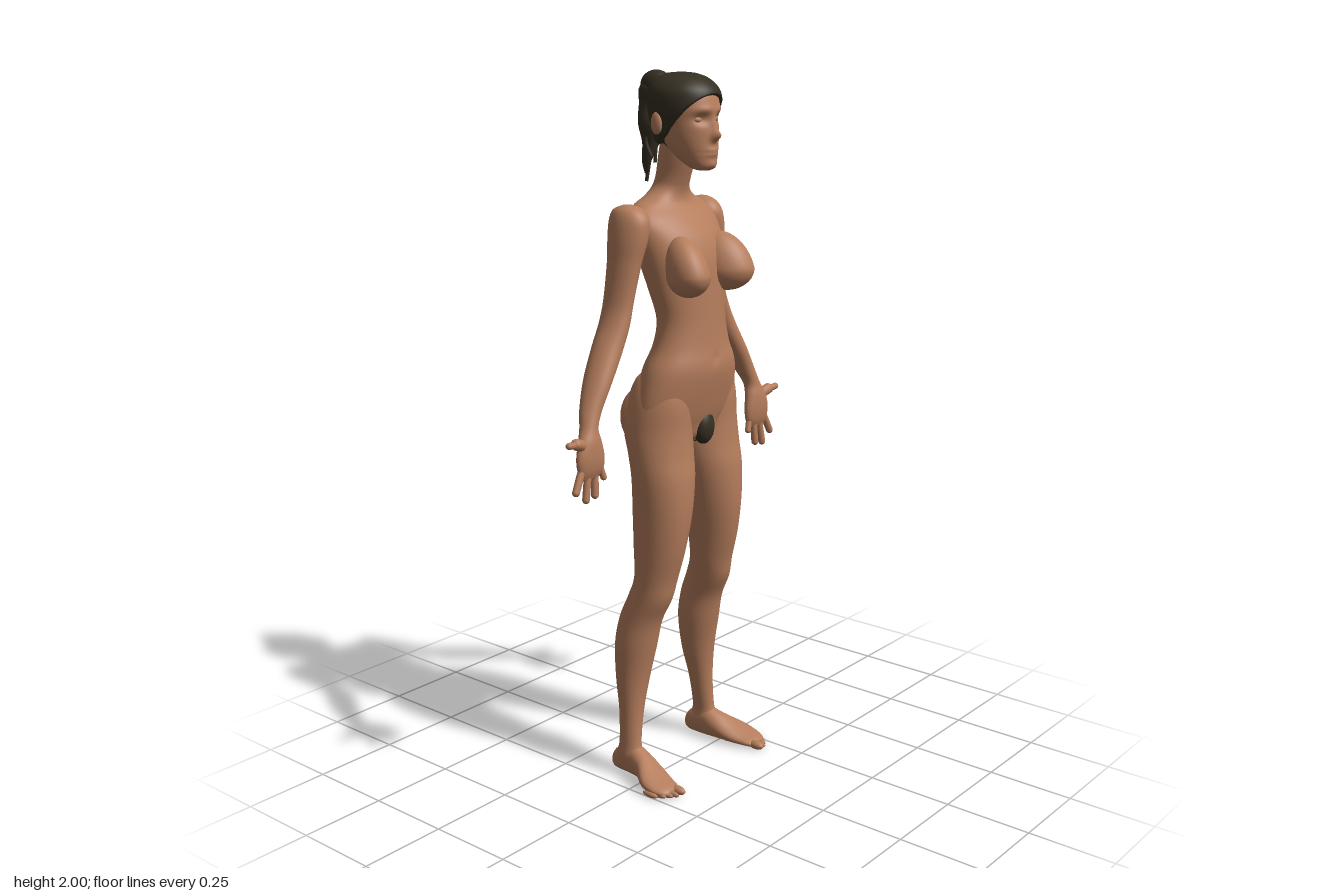
import * as THREE from 'three';

const skin = new THREE.MeshStandardMaterial({ color: 0xb57d5c });
skin.name = 'skin';
const hair = new THREE.MeshStandardMaterial({ color: 0x352f22 });
hair.name = 'darkHair';

// Smooth value between neighbouring profile rows
function spline(a, b, c, d, t) {
  return b + 0.5 * t * (c - a + t * (2 * a - 5 * b + 4 * c - d + t * (3 * (b - c) + d - a)));
}

// Closed loft. Rows: [position along axis, xMin, xMax, vMax, vMin], v being z (axis y) or y (axis z)
function loft(rows, { axis = 'y', seg = 32, sub = 5, rule } = {}) {
  const pos = [], idx = [], last = rows.length - 1;
  const rings = last * sub + 1;
  const put = (x, along, v) => {
    const p = axis === 'y' ? new THREE.Vector3(x, along, v) : new THREE.Vector3(x, v, along);
    if (rule) rule(p);
    pos.push(p.x, p.y, p.z);
  };
  const at = (r) => {
    const i = Math.min(Math.floor(r / sub), last - 1), t = r / sub - i;
    return rows[i].map((_, k) => spline(
      rows[Math.max(i - 1, 0)][k], rows[i][k], rows[i + 1][k], rows[Math.min(i + 2, last)][k], t));
  };
  for (let r = 0; r < rings; r++) {
    const [a, x0, x1, v1, v0] = at(r);
    for (let j = 0; j < seg; j++) {
      const th = (j / seg) * Math.PI * 2;
      put((x0 + x1) / 2 + Math.cos(th) * (x1 - x0) / 2, a, (v0 + v1) / 2 + Math.sin(th) * (v1 - v0) / 2);
    }
  }
  const tri = (a, b, c) => (axis === 'y' ? idx.push(a, b, c) : idx.push(a, c, b));
  for (let r = 0; r < rings - 1; r++) {
    for (let j = 0; j < seg; j++) {
      const a = r * seg + j, b = r * seg + (j + 1) % seg;
      tri(a, a + seg, b);
      tri(b, a + seg, b + seg);
    }
  }
  // End caps
  [0, rings - 1].forEach((r) => {
    const [a, x0, x1, v1, v0] = at(r), c = pos.length / 3;
    put((x0 + x1) / 2, a, (v0 + v1) / 2);
    for (let j = 0; j < seg; j++) {
      const p = r * seg + j, q = r * seg + (j + 1) % seg;
      if (r === 0) tri(c, p, q); else tri(c, q, p);
    }
  });
  const g = new THREE.BufferGeometry();
  g.setAttribute('position', new THREE.Float32BufferAttribute(pos, 3));
  g.setIndex(idx);
  g.computeVertexNormals();
  return g;
}

const symmetric = (rows) => rows.map(([y, w, front, back]) => [y, -w, w, front, back]);

function ellipsoid(x, y, z, rx, ry, rz) {
  return new THREE.SphereGeometry(1, 28, 20).scale(rx, ry, rz).translate(x, y, z);
}

// Rounded finger segment between two points
function finger(a, b, r) {
  const p = new THREE.Vector3(...a), d = new THREE.Vector3(...b).sub(p);
  const q = new THREE.Quaternion().setFromUnitVectors(new THREE.Vector3(0, 1, 0), d.clone().normalize());
  p.addScaledVector(d, 0.5);
  return new THREE.CapsuleGeometry(r, d.length(), 6, 12).applyQuaternion(q).translate(p.x, p.y, p.z);
}

function mirrored(geo) {
  const g = geo.clone().scale(-1, 1, 1), i = g.index.array;
  for (let k = 0; k < i.length; k += 3) [i[k], i[k + 1]] = [i[k + 1], i[k]];
  return g;
}

const bump = (x, y, sx, sy) => Math.exp(-((x / sx) ** 2) - (y / sy) ** 2);

export function createModel() {
  const model = new THREE.Group();
  const add = (name, geo, mat = skin) => {
    const m = new THREE.Mesh(geo, mat);
    m.name = name;
    model.add(m);
  };
  const pair = (name, geo, mat) => {
    add(name + 'Left', geo, mat);
    add(name + 'Right', mirrored(geo), mat);
  };

  // Torso and neck, with a shallow spine groove and navel
  add('torso', loft(symmetric([
    [0.985, 0.03, 0.03, -0.03], [1.01, 0.1, 0.068, -0.06], [1.05, 0.165, 0.08, -0.08],
    [1.1, 0.182, 0.095, -0.09], [1.2, 0.163, 0.116, -0.085], [1.27, 0.13, 0.108, -0.062],
    [1.34, 0.115, 0.102, -0.055], [1.42, 0.128, 0.097, -0.078], [1.5, 0.142, 0.09, -0.108],
    [1.56, 0.152, 0.07, -0.122], [1.61, 0.158, 0.035, -0.126], [1.645, 0.13, 0.004, -0.12],
    [1.667, 0.085, -0.003, -0.11], [1.69, 0.055, 0, -0.1], [1.72, 0.046, 0.01, -0.09],
    [1.78, 0.046, 0.03, -0.08], [1.83, 0.045, 0.03, -0.07]]), {
    seg: 64,
    rule: (p) => {
      if (p.z < -0.03) p.z += 0.016 * bump(p.x, p.y - 1.42, 0.022, 0.17);
      if (p.z > 0.05) p.z -= 0.008 * bump(p.x, p.y - 1.235, 0.01, 0.012);
    },
  }));

  // Chest, fuller below than above
  const chest = new THREE.SphereGeometry(1, 32, 24).scale(0.06, 0.062, 0.075);
  const cp = chest.attributes.position;
  for (let i = 0; i < cp.count; i++) {
    const y = cp.getY(i), z = cp.getZ(i);
    if (y > 0) cp.setXYZ(i, cp.getX(i), y * 1.6, z - y * 0.45);
    cp.setX(i, cp.getX(i) + z * 0.2);
  }
  chest.computeVertexNormals();
  pair('breast', chest.translate(0.083, 1.472, 0.08));

  // Legs, read as rings from ankle to hip
  pair('leg', loft([
    [0.02, 0.15, 0.19, -0.02, -0.11], [0.06, 0.142, 0.2, -0.01, -0.112], [0.1, 0.143, 0.196, -0.028, -0.1],
    [0.2, 0.125, 0.194, -0.03, -0.105], [0.3, 0.1, 0.198, -0.02, -0.12], [0.4, 0.084, 0.2, 0, -0.126],
    [0.48, 0.082, 0.193, 0.018, -0.113], [0.55, 0.076, 0.186, 0.05, -0.085], [0.61, 0.066, 0.183, 0.063, -0.066],
    [0.7, 0.053, 0.186, 0.086, -0.07], [0.8, 0.035, 0.19, 0.1, -0.075], [0.9, 0.018, 0.195, 0.1, -0.078],
    [0.97, 0.009, 0.196, 0.09, -0.09], [1.04, 0.008, 0.192, 0.085, -0.11], [1.12, 0.014, 0.18, 0.085, -0.1],
    [1.18, 0.04, 0.155, 0.07, -0.075], [1.21, 0.07, 0.12, 0.03, -0.03]], { seg: 40 }));
  pair('buttock', ellipsoid(0.088, 1.065, -0.055, 0.086, 0.092, 0.077));

  // Feet, read as rings from heel to toes
  pair('foot', loft([
    [-0.127, 0.157, 0.18, 0.045, 0.018], [-0.112, 0.145, 0.191, 0.07, 0.005], [-0.06, 0.14, 0.198, 0.1, 0.003],
    [-0.01, 0.138, 0.212, 0.085, 0.004], [0.04, 0.143, 0.245, 0.058, 0.002], [0.08, 0.155, 0.25, 0.04, 0.002],
    [0.11, 0.166, 0.24, 0.03, 0.003], [0.125, 0.18, 0.225, 0.022, 0.006]], { axis: 'z' }));
  for (let i = 0; i < 5; i++) {
    const r = i ? 0.0085 : 0.013;
    pair('toe' + (i + 1), ellipsoid(0.185 + i * 0.0145 + (i ? 0.005 : 0), r + 0.002, 0.126 - i * i * 0.002 - i * 0.004, r, r, 0.027));
  }

  // Arms from palm to shoulder
  pair('arm', loft([
    [0.95, 0.335, 0.4, -0.013, -0.032], [0.975, 0.318, 0.412, -0.004, -0.04], [1.01, 0.316, 0.415, 0, -0.045],
    [1.05, 0.325, 0.402, -0.002, -0.05], [1.085, 0.33, 0.382, -0.01, -0.06], [1.13, 0.305, 0.365, -0.015, -0.078],
    [1.2, 0.258, 0.33, -0.015, -0.1], [1.28, 0.205, 0.285, -0.02, -0.112], [1.34, 0.18, 0.25, -0.02, -0.115],
    [1.4, 0.165, 0.229, -0.02, -0.115], [1.5, 0.14, 0.215, -0.01, -0.116], [1.56, 0.12, 0.21, 0, -0.122],
    [1.61, 0.11, 0.202, 0, -0.124], [1.64, 0.12, 0.19, -0.02, -0.112], [1.653, 0.145, 0.17, -0.05, -0.08]]));

  // Fingers and thumb
  const tips = [[0.331, 0.32, 0.945], [0.35, 0.355, 0.903], [0.375, 0.39, 0.897], [0.4, 0.428, 0.925]];
  tips.forEach(([x0, x1, y1], i) => pair('finger' + (i + 1),
    finger([x0, 0.98, -0.022], [x1, y1, -0.018], i ? 0.0105 : 0.009)));
  pair('thumbBase', finger([0.38, 1.04, -0.028], [0.42, 1.055, -0.02], 0.016));
  pair('thumbTip', finger([0.415, 1.053, -0.02], [0.452, 1.058, -0.016], 0.0095));

  // Head with brow, eye sockets, lips and chin shaped by bumps
  add('head', loft(symmetric([
    [1.742, 0.018, 0.085, 0.045], [1.752, 0.036, 0.097, 0.02], [1.785, 0.056, 0.1, -0.03],
    [1.825, 0.07, 0.1, -0.06], [1.87, 0.078, 0.1, -0.08], [1.91, 0.082, 0.1, -0.09],
    [1.95, 0.078, 0.086, -0.088], [1.98, 0.055, 0.055, -0.065]]), {
    seg: 96, sub: 8,
    rule: (p) => {
      if (p.z < 0.04) return;
      const x = Math.abs(p.x);
      p.z += 0.021 * bump(x, p.y - 1.833, 0.012, 0.014) + 0.01 * bump(x, p.y - 1.855, 0.009, 0.025)
        + 0.008 * bump(x, p.y - 1.79, 0.022, 0.012) - 0.004 * bump(x, p.y - 1.79, 0.03, 0.003)
        - 0.013 * bump(x - 0.034, p.y - 1.876, 0.02, 0.014) + 0.004 * bump(x - 0.03, p.y - 1.9, 0.03, 0.01)
        + 0.005 * bump(x, p.y - 1.758, 0.02, 0.012);
    },
  }));
  pair('eye', ellipsoid(0.034, 1.875, 0.068, 0.016, 0.011, 0.015));
  pair('ear', ellipsoid(0.088, 1.865, -0.018, 0.011, 0.03, 0.019).rotateY(0.08));

  // Hair cap, tucked into the head below a slanted hairline
  add('hairCap', loft(symmetric([
    [1.79, 0.055, 0.06, -0.078], [1.83, 0.077, 0.09, -0.09], [1.87, 0.087, 0.102, -0.1],
    [1.91, 0.094, 0.106, -0.105], [1.95, 0.09, 0.098, -0.104], [1.978, 0.067, 0.07, -0.085],
    [1.992, 0.035, 0.035, -0.055], [1.996, 0.006, 0, -0.015]]), {
    seg: 96, sub: 12,
    rule: (p) => {
      const line = 1.837 + p.z * (p.z > 0 ? 1.0 : 0.4);
      const k = 1 - 0.22 * THREE.MathUtils.smoothstep(line - p.y, -0.003, 0.008);
      p.x *= k;
      p.z *= k;
    },
  }), hair);

  // Ponytail with loose strands
  add('hairKnot', ellipsoid(0, 1.96, -0.098, 0.033, 0.04, 0.05), hair);
  add('ponytail', loft(symmetric([
    [1.72, 0.004, -0.132, -0.142], [1.76, 0.012, -0.115, -0.146], [1.8, 0.022, -0.1, -0.147],
    [1.85, 0.032, -0.09, -0.15], [1.9, 0.036, -0.085, -0.153], [1.95, 0.032, -0.075, -0.15],
    [1.98, 0.012, -0.09, -0.12]]), {
    rule: (p) => { p.x += 0.004 * Math.sin(p.y * 60); },
  }), hair);
  [[-0.02, 1.77, -0.1], [0.018, 1.75, -0.12], [0.004, 1.7, -0.139]].forEach(([x, y, z], i) => {
    const curve = new THREE.CatmullRomCurve3([
      new THREE.Vector3(x * 0.8, 1.88, -0.11), new THREE.Vector3(x * 1.1, 1.81, -0.118), new THREE.Vector3(x, y, z)]);
    add('strand' + (i + 1), new THREE.TubeGeometry(curve, 12, 0.005, 8), hair);
  });

  // Body hair
  add('bodyHairFront', ellipsoid(0, 1.036, 0.068, 0.035, 0.05, 0.028), hair);
  add('bodyHairUnder', ellipsoid(0, 1.025, -0.015, 0.02, 0.045, 0.093), hair);

  return model;
}
